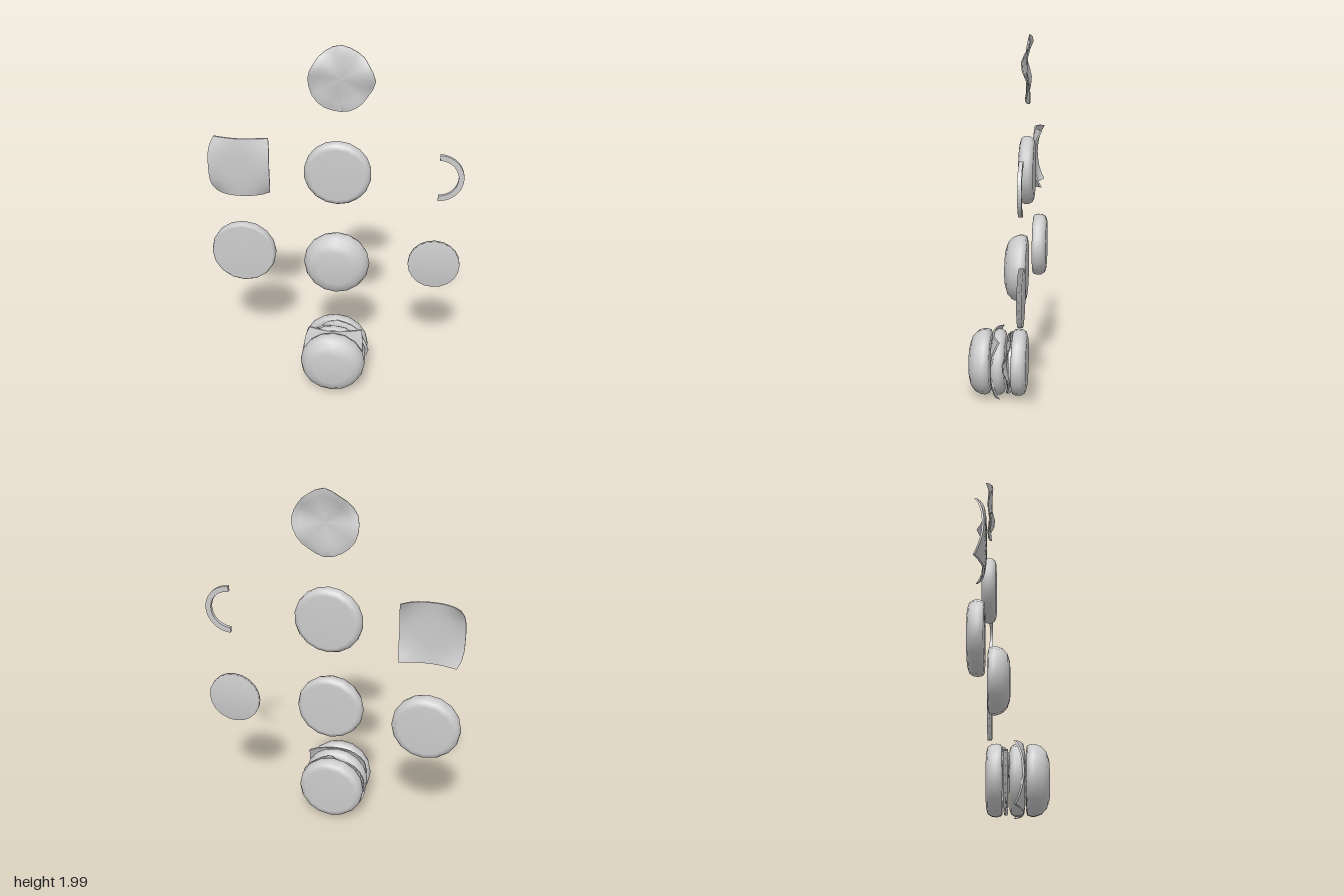
import * as THREE from 'three';

const material = new THREE.MeshStandardMaterial({ color: 0xcccccc, side: THREE.DoubleSide });

// Smooth round part facing +z, from [radius, z] pairs ordered back to front
function roundPart(profile, sides) {
  const points = profile.map(([r, z]) => new THREE.Vector2(r, z));
  return new THREE.LatheGeometry(points, sides).rotateX(Math.PI / 2);
}

function reshape(geometry, rule) {
  const p = geometry.attributes.position;
  for (let i = 0; i < p.count; i++) p.setXYZ(i, ...rule(p.getX(i), p.getY(i), p.getZ(i)));
  geometry.computeVertexNormals();
  return geometry;
}

// Square slice with bulging sides and corners that droop backwards
function cheeseSlice() {
  return reshape(new THREE.BoxGeometry(2, 2, 0.01, 8, 8, 1), (u, v, z) => {
    const pinch = u < 0 ? 0.17 : 0.05;
    const x = 0.17 * u * (1 - pinch * v ** 4);
    const y = 0.172 * v * (1 - 0.05 * u ** 4);
    return [x, y, z - 0.035 * u * u * v * v - 0.008 * (u ** 4 + v ** 4)];
  });
}

// Thin leaf: uneven outline (radius every 30 degrees) with folds in depth
function lettuceLeaf() {
  const radii = [0.18, 0.165, 0.165, 0.178, 0.166, 0.165, 0.175, 0.18, 0.18, 0.18, 0.172, 0.167];
  const t = 0.004;
  const profile = [[0, -t], [0.25, -t], [0.5, -t], [0.75, -t], [1, -t],
    [1, t], [0.75, t], [0.5, t], [0.25, t], [0, t]];
  return reshape(roundPart(profile, 24), (x, y, z) => {
    const r = Math.hypot(x, y);
    const a = ((Math.atan2(y, x) / (Math.PI / 6)) + 12) % 12;
    const i = Math.floor(a + 1e-6) % 12;
    const f = Math.max(0, a - Math.floor(a + 1e-6));
    const size = THREE.MathUtils.lerp(radii[i], radii[(i + 1) % 12], f);
    const fold = 0.009 * Math.sin(5 * Math.atan2(y, x) + 0.6) * r * r;
    const bend = 0.009 * Math.sin(3.6 * y + 0.8) * (0.4 + 0.6 * r) - 0.012 * Math.max(0, y) ** 3;
    return [x * size, y * size, z + fold + bend];
  });
}

// Half ring, open towards -x
function onionRing() {
  const shape = new THREE.Shape();
  shape.absarc(0, 0, 0.135, -Math.PI / 2, Math.PI / 2, false);
  shape.absarc(0, 0, 0.105, Math.PI / 2, -Math.PI / 2, true);
  return new THREE.ExtrudeGeometry(shape, { depth: 0.02, bevelEnabled: false, curveSegments: 10 })
    .translate(0, 0, -0.01);
}

export function createModel() {
  const model = new THREE.Group();
  model.name = 'burgerAndIngredients';

  const parts = {
    topBun: roundPart([[0, 0], [0.155, 0], [0.178, 0.006], [0.186, 0.03], [0.184, 0.05],
      [0.172, 0.08], [0.145, 0.105], [0.1, 0.119], [0, 0.122]], 16),
    bottomBun: roundPart([[0, -0.041], [0.145, -0.041], [0.172, -0.033], [0.185, -0.012],
      [0.187, 0.012], [0.182, 0.033], [0.172, 0.04], [0, 0.042]], 16),
    patty: roundPart([[0, -0.039], [0.15, -0.039], [0.172, -0.031], [0.184, -0.012],
      [0.184, 0.012], [0.172, 0.031], [0.15, 0.039], [0, 0.039]], 18),
    tomato: roundPart([[0, -0.0125], [0.146, -0.0125], [0.146, 0.0125], [0, 0.0125]], 20),
    cheese: cheeseSlice(),
    lettuce: lettuceLeaf(),
    onion: onionRing(),
  };

  function group(name, layout) {
    const g = new THREE.Group();
    g.name = name;
    for (const [part, x, y, z] of layout) {
      const mesh = new THREE.Mesh(parts[part], material);
      mesh.name = part;
      mesh.position.set(x, y, z);
      g.add(mesh);
    }
    model.add(g);
  }

  // Ingredients laid out separately
  group('looseIngredients', [
    ['lettuce', 0.035, 1.82, -0.117],
    ['cheese', -0.53, 1.285, -0.122],
    ['patty', 0.018, 1.287, -0.119],
    ['onion', 0.565, 1.285, -0.126],
    ['bottomBun', -0.527, 0.742, -0.162],
    ['topBun', 0.018, 0.742, -0.122],
    ['tomato', 0.565, 0.742, -0.127],
  ]);

  // Stacked burger lying on its side, top bun to the front
  group('burger', [
    ['topBun', 0.018, 0.193, 0.078],
    ['cheese', 0.015, 0.197, 0.072],
    ['patty', 0.018, 0.193, 0.033],
    ['lettuce', 0.035, 0.198, -0.02],
    ['tomato', -0.015, 0.195, -0.025],
    ['onion', 0.018, 0.193, -0.036],
    ['bottomBun', 0.018, 0.193, -0.083],
  ]);

  return model;
}
